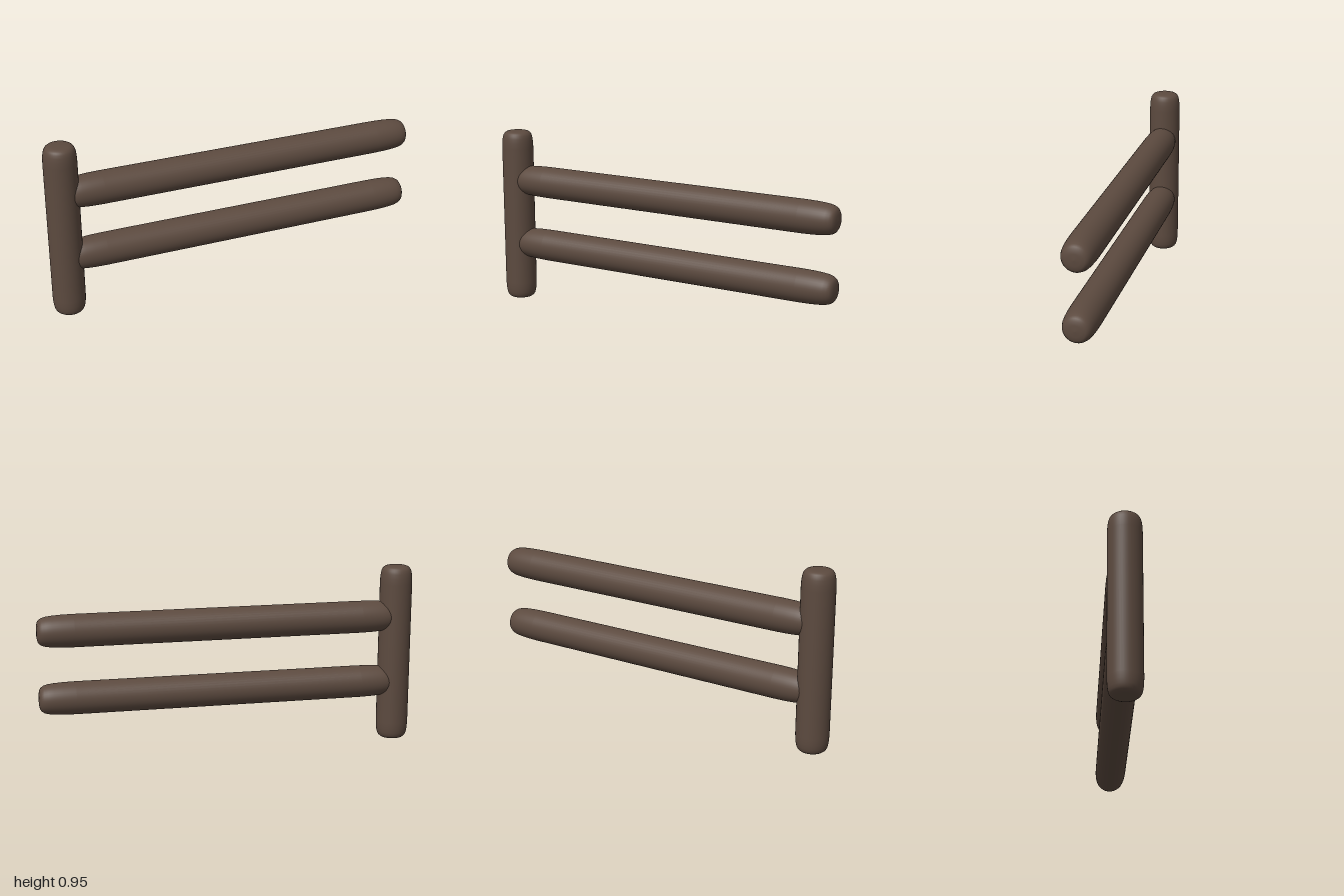
import * as THREE from 'three';

export function createModel() {
  const wood = new THREE.MeshStandardMaterial({ color: 0x5c4a3f });
  wood.name = 'darkWood';

  // Softened end: [radius, distance from the tip as a share of the length]
  const end = [
    [0, 0], [0.03, 0.001], [0.05, 0.003], [0.062, 0.007], [0.071, 0.0145],
    [0.077, 0.025], [0.081, 0.041], [0.084, 0.065], [0.0855, 0.1],
  ];

  // Round log with softened ends, standing on its base
  function log(name, length) {
    const lower = end.map(([r, t]) => new THREE.Vector2(r, t * length));
    const upper = end.map(([r, t]) => new THREE.Vector2(r, (1 - t) * length)).reverse();
    const mesh = new THREE.Mesh(new THREE.LatheGeometry([...lower, ...upper], 40), wood);
    mesh.name = name;
    return mesh;
  }

  const fence = new THREE.Group();
  fence.name = 'fenceSection';

  // Upright post at one end
  const post = log('post', 0.955);
  post.position.x = -0.9145;
  fence.add(post);

  // Two horizontal rails sunk into the post
  [['lowerRail', 0.325], ['upperRail', 0.682]].forEach(([name, y]) => {
    const rail = log(name, 1.903);
    rail.rotation.z = -Math.PI / 2;
    rail.position.set(-0.903, y, 0);
    fence.add(rail);
  });

  return fence;
}
